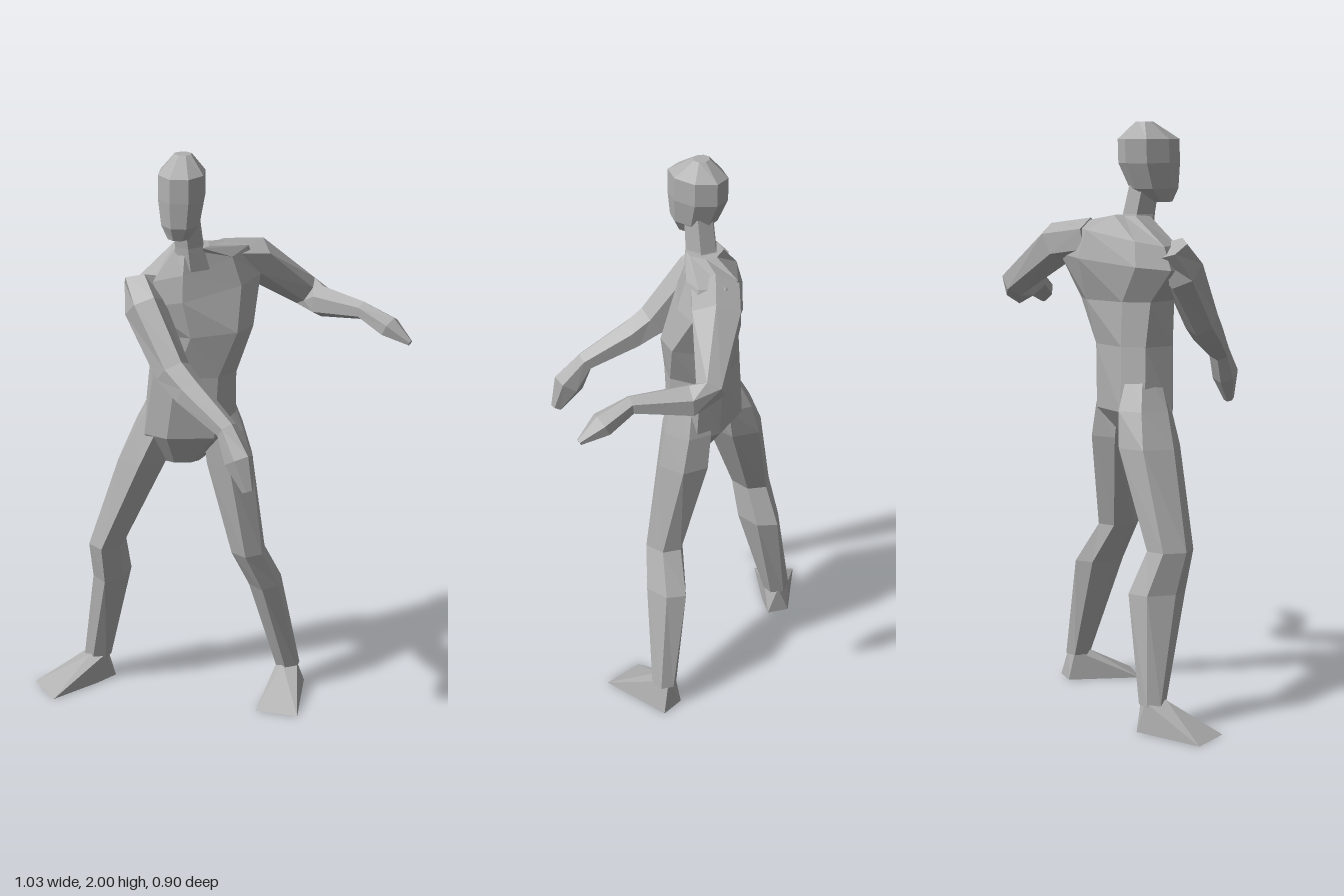
import * as THREE from 'three';
import { ConvexGeometry } from 'three/addons/geometries/ConvexGeometry.js';

const UP = new THREE.Vector3(0, 1, 0);
const skin = new THREE.MeshStandardMaterial({ color: 0xb0b0b0 });
skin.name = 'plain grey';
skin.flatShading = true;

// One ring of points around a centre, spanned by a side axis and the axis across it
function ring(c, side, normal, a, b, n, phase, power) {
  const v = new THREE.Vector3().crossVectors(side, normal);
  const soft = (t) => Math.sign(t) * Math.abs(t) ** power;
  return Array.from({ length: n }, (_, i) => {
    const t = ((i + phase) / n) * Math.PI * 2;
    return c.clone().addScaledVector(side, a * soft(Math.cos(t))).addScaledVector(v, b * soft(Math.sin(t)));
  });
}

// Skin between successive rings, closed at both ends
function loft(rings) {
  const pos = [];
  const tri = (...p) => p.forEach((q) => pos.push(q.x, q.y, q.z));
  const n = rings[0].length;
  const mid = (r) => r.reduce((s, p) => s.add(p), new THREE.Vector3()).divideScalar(n);
  const first = rings[0], last = rings[rings.length - 1];
  const c0 = mid(first), c1 = mid(last);
  for (let i = 0; i < n; i++) {
    const j = (i + 1) % n;
    for (let k = 0; k + 1 < rings.length; k++) {
      const a = rings[k], b = rings[k + 1];
      tri(a[i], b[i], b[j]);
      tri(a[i], b[j], a[j]);
    }
    tri(c0, first[i], first[j]);
    tri(c1, last[j], last[i]);
  }
  const g = new THREE.BufferGeometry();
  g.setAttribute('position', new THREE.Float32BufferAttribute(pos, 3));
  g.computeVertexNormals();
  return g;
}

// Upright part, bottom to top: [x, y, z, yaw, half width, half depth, roll]
function upright(stations, n, power = 1) {
  return loft(stations.map(([x, y, z, yaw, w, d, roll = 0]) => {
    const r = THREE.MathUtils.degToRad(yaw);
    const flat = new THREE.Vector3(Math.cos(r), 0, -Math.sin(r));
    const normal = UP.clone().addScaledVector(flat, -roll).normalize();
    const side = flat.addScaledVector(UP, roll).normalize();
    return ring(new THREE.Vector3(x, y, z), side, normal, w, d, n, 0.5, power);
  }));
}

// Limb along a path, rings square to it: [x, y, z, half width, half height]
function limb(stations, n) {
  const pts = stations.map((s) => new THREE.Vector3(s[0], s[1], s[2]));
  return loft(stations.map((s, i) => {
    const normal = pts[Math.min(i + 1, pts.length - 1)].clone().sub(pts[Math.max(i - 1, 0)]).normalize();
    const side = new THREE.Vector3().crossVectors(normal, UP).normalize();
    return ring(pts[i], side, normal, s[3], s[4], n, 0.5, 1);
  }));
}

const hull = (points) => new ConvexGeometry(points.map((p) => new THREE.Vector3(...p)));

export function createModel() {
  const model = new THREE.Group();
  model.name = 'figure';
  const add = (name, geometry) => {
    const m = new THREE.Mesh(geometry, skin);
    m.name = name;
    model.add(m);
  };

  // Torso twists from the hips up to the shoulders
  add('torso', upright([
    [-0.06, 0.92, 0.095, 45, 0.06, 0.04],
    [-0.05, 1.03, 0.07, 45, 0.165, 0.11],
    [-0.038, 1.25, 0.065, 50, 0.15, 0.115],
    [-0.02, 1.4, 0.035, 62, 0.17, 0.123],
    [-0.055, 1.53, 0.03, 73, 0.235, 0.115, 0.1],
    [-0.06, 1.62, 0.03, 74, 0.2, 0.09, 0.18],
    [-0.045, 1.685, 0.06, 50, 0.06, 0.06],
  ], 8, 0.75));

  add('neck', upright([
    [-0.04, 1.61, 0.065, 40, 0.07, 0.07],
    [-0.038, 1.69, 0.08, 40, 0.052, 0.06],
    [-0.035, 1.8, 0.1, 40, 0.05, 0.055],
  ], 6));

  add('head', upright([
    [-0.018, 1.73, 0.15, 38, 0.038, 0.04],
    [-0.028, 1.775, 0.13, 38, 0.066, 0.085],
    [-0.037, 1.86, 0.115, 38, 0.08, 0.108],
    [-0.038, 1.94, 0.113, 38, 0.08, 0.108],
    [-0.045, 1.998, 0.1, 38, 0.03, 0.028],
  ], 8));

  // Arms, shoulder to fingertips
  add('rightArm', limb([
    [-0.125, 1.58, 0.21, 0.07, 0.06],
    [-0.085, 1.5, 0.245, 0.065, 0.085],
    [0.07, 1.32, 0.275, 0.058, 0.065],
    [0.15, 1.27, 0.28, 0.055, 0.055],
    [0.32, 1.185, 0.285, 0.038, 0.035],
    [0.38, 1.1, 0.295, 0.045, 0.055],
    [0.425, 1.005, 0.3, 0.018, 0.022],
  ], 6));
  add('leftArm', limb([
    [-0.04, 1.605, -0.08, 0.09, 0.07],
    [-0.005, 1.585, -0.21, 0.09, 0.075],
    [0.07, 1.44, -0.395, 0.05, 0.055],
    [0.14, 1.415, -0.4, 0.056, 0.056],
    [0.33, 1.427, -0.39, 0.032, 0.032],
    [0.43, 1.385, -0.41, 0.048, 0.038],
    [0.508, 1.342, -0.425, 0.012, 0.01],
  ], 6));

  // Legs, ankle up to a hip that tapers into the torso
  add('rightLeg', upright([
    [-0.38, 0.09, 0.215, 20, 0.05, 0.045],
    [-0.3, 0.45, 0.21, 29, 0.065, 0.098],
    [-0.28, 0.59, 0.25, 29, 0.065, 0.08],
    [-0.185, 0.92, 0.155, 35, 0.095, 0.11],
    [-0.15, 1.04, 0.13, 42, 0.08, 0.1],
    [-0.105, 1.19, 0.115, 48, 0.045, 0.06],
  ], 6));
  add('leftLeg', upright([
    [0.18, 0.09, -0.2, 30, 0.045, 0.045],
    [0.145, 0.45, -0.11, 35, 0.06, 0.09],
    [0.13, 0.59, -0.035, 35, 0.062, 0.075],
    [0.055, 0.92, -0.02, 42, 0.09, 0.1],
    [0.037, 1.04, -0.005, 45, 0.08, 0.095],
    [0.02, 1.19, 0.01, 48, 0.045, 0.06],
  ], 6));

  // Wedge feet: ankle, heel and flat toe edge
  add('rightFoot', hull([
    [-0.42, 0.105, 0.2], [-0.375, 0.105, 0.175], [-0.335, 0.105, 0.22], [-0.375, 0.105, 0.26],
    [-0.415, 0, 0.17], [-0.335, 0, 0.17], [-0.34, 0, 0.26], [-0.515, 0, 0.405], [-0.37, 0, 0.45],
  ]));
  add('leftFoot', hull([
    [0.14, 0.105, -0.2], [0.175, 0.105, -0.235], [0.215, 0.105, -0.21], [0.185, 0.105, -0.165],
    [0.125, 0, -0.22], [0.2, 0, -0.27], [0.215, 0, -0.24], [0.355, 0, -0.05], [0.22, 0, 0.02],
  ]));

  return model;
}
